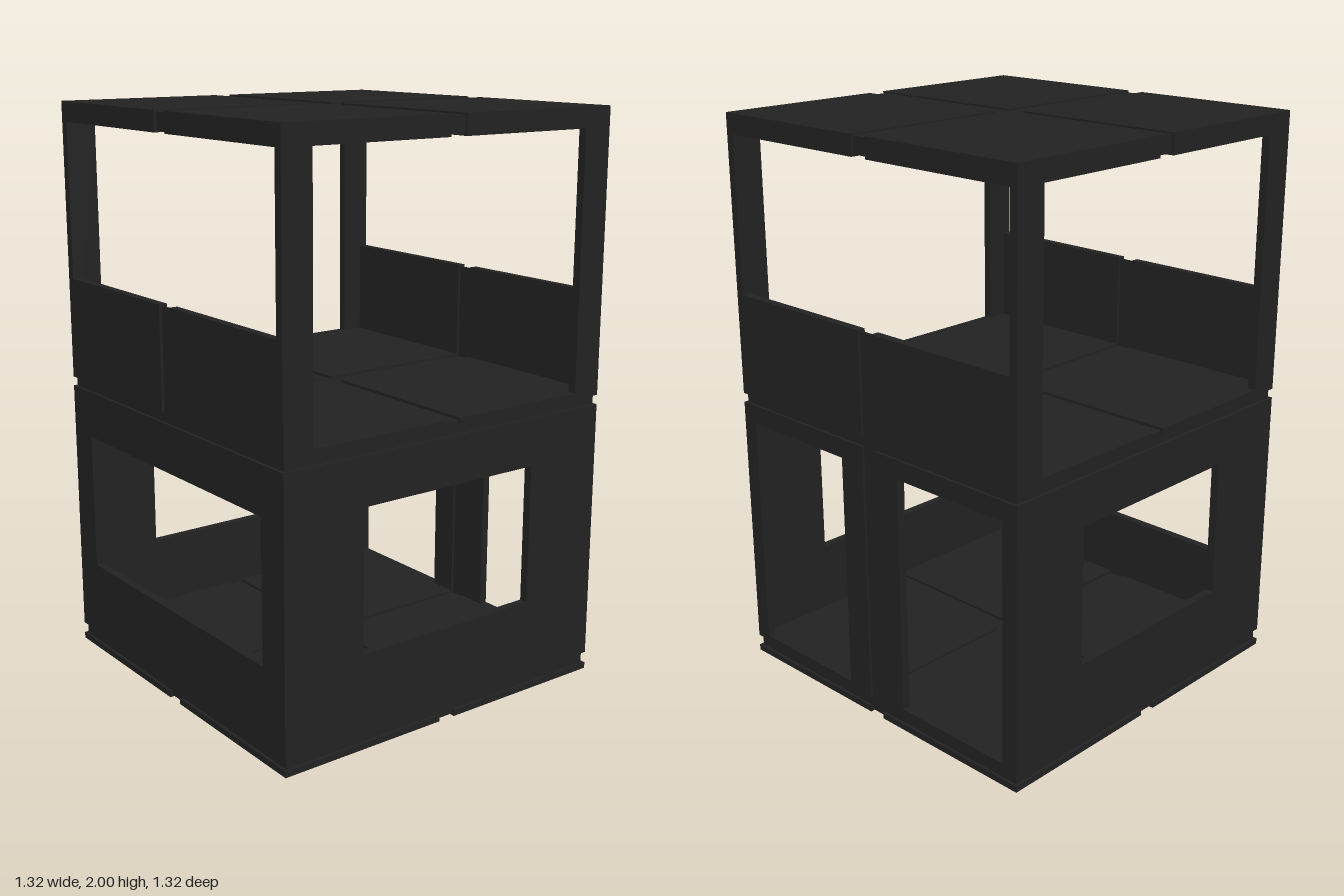
import * as THREE from 'three';

const R = 0.66;      // outer half width
const CORE = 0.65;   // half width of the recessed core
const GAP = 0.032;   // half width of the centre grooves
const T = 0.03;      // wall thickness

export function createModel() {
  const model = new THREE.Group();
  model.name = 'twoStoreyModule';
  const material = new THREE.MeshStandardMaterial({ color: 0x222222 });

  const add = (name, geometry) => {
    const mesh = new THREE.Mesh(geometry, material);
    mesh.name = name;
    model.add(mesh);
    return mesh;
  };

  // box given by its limits on each axis
  const box = (name, x0, x1, y0, y1, z0, z1) => {
    const g = new THREE.BoxGeometry(x1 - x0, y1 - y0, z1 - z0);
    g.translate((x0 + x1) / 2, (y0 + y1) / 2, (z0 + z1) / 2);
    return add(name, g);
  };

  const rect = (Type, u0, u1, v0, v1) => {
    const p = new Type();
    p.moveTo(u0, v0);
    p.lineTo(u1, v0);
    p.lineTo(u1, v1);
    p.lineTo(u0, v1);
    p.closePath();
    return p;
  };

  // upright panel with rectangular openings, extruded along +z
  const panel = (outer, holes) => {
    const shape = rect(THREE.Shape, ...outer);
    holes.forEach((h) => shape.holes.push(rect(THREE.Path, ...h)));
    return new THREE.ExtrudeGeometry(shape, { depth: T, bevelEnabled: false });
  };

  // four square tiles separated by a cross groove
  const tiles = (name, y0, y1, r) => {
    for (const sx of [-1, 1]) for (const sz of [-1, 1]) {
      const w = r - GAP;
      const g = new THREE.BoxGeometry(w, y1 - y0, w);
      g.translate(sx * (GAP + w / 2), (y0 + y1) / 2, sz * (GAP + w / 2));
      add(name, g);
    }
  };

  // base slab
  tiles('baseTile', 0, 0.022, R);
  box('baseCore', -CORE, CORE, 0.006, 0.07, -CORE, CORE);
  tiles('groundFloorTile', 0.06, 0.08, R - T);

  // slab between the storeys
  box('middleCore', -CORE, CORE, 0.975, 1.032, -CORE, CORE);
  tiles('upperFloorTile', 1.02, 1.042, R);

  // roof slab
  box('roofCore', -CORE, CORE, 1.936, 1.994, -CORE, CORE);
  tiles('roofTile', 1.93, 2, R);

  // lower front and back walls, each with one window
  for (const z of [R - T, -R]) {
    const wall = panel([-R, R, 0.062, 0.987], [[-0.357, 0.355, 0.33, 0.82]]);
    wall.translate(0, 0, z);
    add(z > 0 ? 'lowerFrontWall' : 'lowerBackWall', wall);
  }

  // lower left wall seen from outside (-x): one wide window
  const side = R - T;
  const windowWall = panel([-side, side, 0.062, 0.987], [[-0.54, 0.54, 0.33, 0.82]]);
  windowWall.rotateY(Math.PI / 2);
  windowWall.translate(-R, 0, 0);
  add('windowWall', windowWall);

  // lower right wall (+x): two doorways either side of a recessed strip
  for (const s of [-1, 1]) {
    const u = s > 0 ? [GAP, side] : [-side, -GAP];
    const d = s > 0 ? [0.135, 0.6] : [-0.6, -0.135];
    const doorWall = panel([...u, 0.062, 0.987], [[...d, 0.08, 0.92]]);
    doorWall.rotateY(Math.PI / 2);
    doorWall.translate(R - T, 0, 0);
    add('doorWall', doorWall);
  }
  box('doorWallStrip', 0.64, CORE, 0.062, 0.987, -GAP, GAP);

  // upper front and back corner posts
  for (const sx of [-1, 1]) for (const sz of [-1, 1]) {
    const g = new THREE.BoxGeometry(0.11, 0.91, T);
    g.translate(sx * (R - 0.055), 1.02 + 0.455, sz * (R - T / 2));
    add('cornerPost', g);
  }

  // upper side parapets, two panels joined by a recessed strip
  for (const sx of [-1, 1]) {
    for (const sz of [-1, 1]) {
      const g = new THREE.BoxGeometry(T, 0.362, side - GAP);
      g.translate(sx * (R - T / 2), 1.02 + 0.181, sz * (side + GAP) / 2);
      add('parapetPanel', g);
    }
    const strip = new THREE.BoxGeometry(0.01, 0.355, GAP * 2);
    strip.translate(sx * 0.645, 1.02 + 0.1775, 0);
    add('parapetStrip', strip);
  }

  return model;
}
